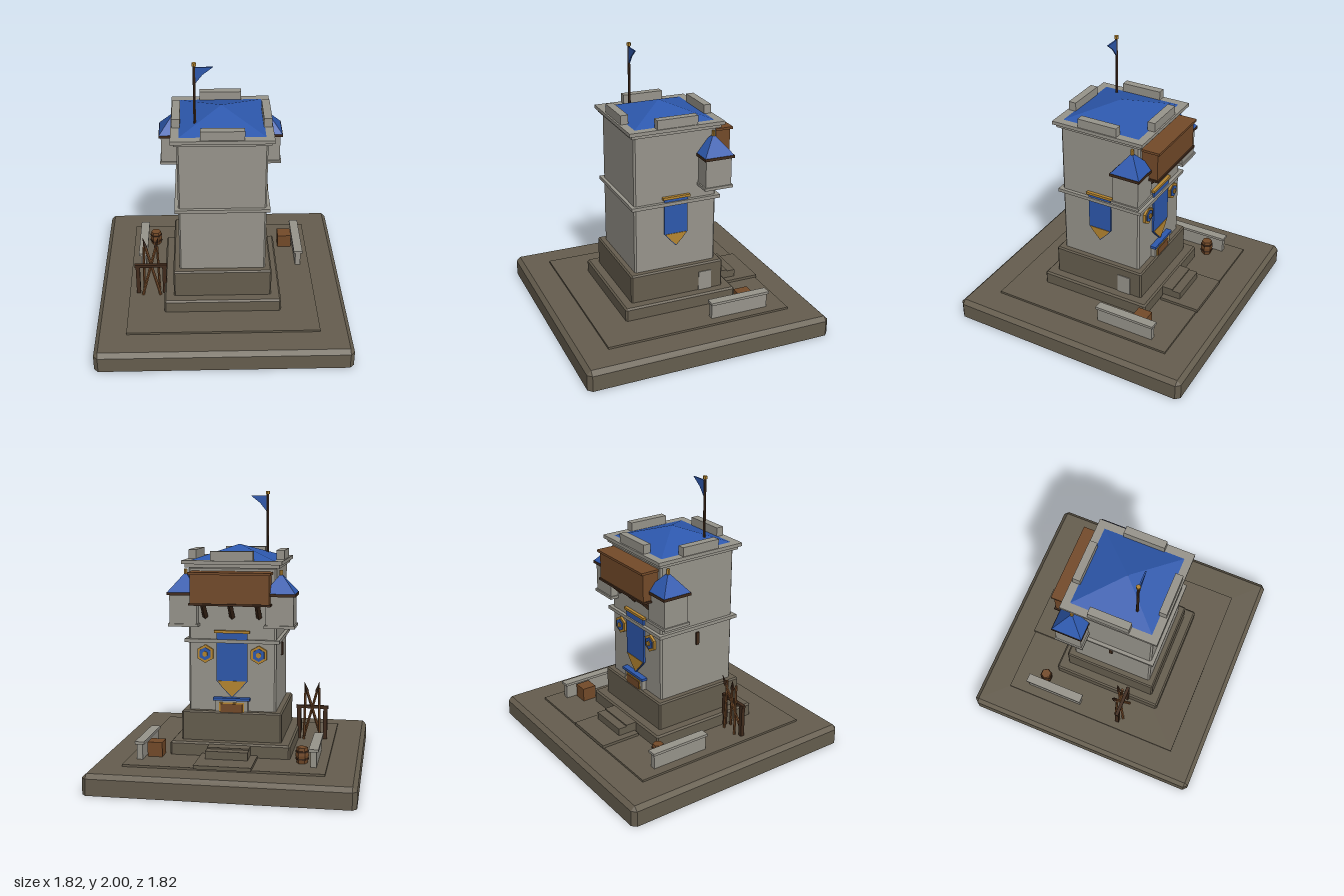
import * as THREE from 'three';
import { ConvexGeometry } from 'three/addons/geometries/ConvexGeometry.js';

export function createModel() {
  const model = new THREE.Group();
  model.name = 'watchtower';
  const mat = (name, color) => {
    const m = new THREE.MeshStandardMaterial({ color });
    m.name = name;
    m.flatShading = true;
    return m;
  };
  const stone = mat('stone', 0x97948b);
  const darkStone = mat('dark stone', 0x655d4e);
  const blue = mat('blue', 0x2d58ad);
  const gold = mat('gold', 0xb58530);
  const wood = mat('wood', 0x734a29);
  const darkWood = mat('dark wood', 0x402a1b);

  const CZ = 0.035; // depth centre of the tower

  const add = (name, geo, material, parent = model) => {
    const m = new THREE.Mesh(geo, material);
    m.name = name;
    parent.add(m);
    return m;
  };
  // box given by its limits on each axis
  const box = (name, material, x0, x1, y0, y1, z0, z1, parent) => {
    const m = add(name, new THREE.BoxGeometry(x1 - x0, y1 - y0, z1 - z0), material, parent);
    m.position.set((x0 + x1) / 2, (y0 + y1) / 2, (z0 + z1) / 2);
  };
  // square block with chamfered upright and top edges
  const block = (name, material, half, y0, y1, c, cz) => {
    const pts = [];
    for (const sx of [-1, 1]) for (const sz of [-1, 1]) {
      for (const y of [y0, y1 - c]) {
        pts.push(new THREE.Vector3(sx * half, y, sz * (half - c)));
        pts.push(new THREE.Vector3(sx * (half - c), y, sz * half));
      }
      pts.push(new THREE.Vector3(sx * (half - c), y1, sz * (half - c)));
    }
    add(name, new ConvexGeometry(pts), material).position.z = cz;
  };
  const slab = (name, material, half, y0, y1) =>
    box(name, material, -half, half, y0, y1, CZ - half, CZ + half);
  // four-sided roof with its sides along the axes
  const pyramid = (name, half, y0, y1, x, z) => {
    const g = new THREE.ConeGeometry(half * Math.SQRT2, y1 - y0, 4).rotateY(Math.PI / 4);
    add(name, g, blue).position.set(x, (y0 + y1) / 2, z);
  };
  // rod between two points
  const rod = (name, material, a, b, r0, r1 = r0, sides = 6) => {
    const p = new THREE.Vector3(...a), q = new THREE.Vector3(...b);
    const m = add(name, new THREE.CylinderGeometry(r1, r0, p.distanceTo(q), sides), material);
    m.position.copy(p).add(q).multiplyScalar(0.5);
    m.quaternion.setFromUnitVectors(new THREE.Vector3(0, 1, 0), q.sub(p).normalize());
  };
  // flat plate cut to an outline
  const plate = (name, material, outline, depth, z, parent) => {
    const shape = new THREE.Shape(outline.map(p => new THREE.Vector2(...p)));
    const g = new THREE.ExtrudeGeometry(shape, { depth, bevelEnabled: false });
    add(name, g, material, parent).position.z = z;
  };

  // ground and plinth
  block('ground', darkStone, 0.91, 0, 0.145, 0.03, 0);
  box('paving', darkStone, -0.69, 0.69, 0.14, 0.16, -0.69, 0.69);
  block('lowerPlinth', darkStone, 0.425, 0.155, 0.255, 0.012, CZ);
  block('upperPlinth', darkStone, 0.355, 0.25, 0.465, 0.01, CZ);

  // tower shaft, string course and crown
  block('shaft', stone, 0.31, 0.46, 1.48, 0.012, CZ);
  slab('stringCourse', stone, 0.335, 0.95, 0.975);
  slab('lowerCornice', stone, 0.332, 1.475, 1.5);
  slab('upperCornice', stone, 0.352, 1.5, 1.525);
  pyramid('mainRoof', 0.295, 1.525, 1.625, 0, CZ);
  for (const s of [-1, 1]) {
    const x = s * 0.316, z = CZ + s * 0.312;
    box('parapet', stone, -0.15, 0.15, 1.52, 1.59, z - 0.028, z + 0.028);
    box('parapet', stone, x - 0.028, x + 0.028, 1.52, 1.59, CZ - 0.15, CZ + 0.15);
  }

  // flag on its pole
  rod('flagpole', darkWood, [-0.185, 1.53, 0.18], [-0.185, 1.985, 0.18], 0.01);
  rod('flagpoleKnob', gold, [-0.185, 1.98, 0.18], [-0.185, 2, 0.18], 0.016);
  plate('flag', blue, [[-0.177, 1.97], [-0.177, 1.855], [-0.13, 1.915], [-0.06, 1.97]], 0.01, 0.175);

  // corner turrets at the back
  for (const s of [-1, 1]) {
    const x = s * 0.338, z = -0.235;
    const tier = (name, m, h, y0, y1) => box(name, m, x - h, x + h, y0, y1, z - h, z + h);
    tier('turretBase', stone, 0.107, 1.065, 1.085);
    tier('turretBody', stone, 0.097, 1.08, 1.29);
    tier('turretEave', darkWood, 0.113, 1.285, 1.305);
    pyramid('turretRoof', 0.11, 1.305, 1.44, x, z);
    rod('turretKnob', gold, [x, 1.425, z], [x, 1.462, z], 0.013);
  }

  // wooden gallery with brackets
  box('galleryBody', wood, -0.275, 0.275, 1.235, 1.44, -0.395, -0.26);
  box('galleryLid', wood, -0.285, 0.285, 1.435, 1.452, -0.412, -0.26);
  box('galleryFloor', darkWood, -0.285, 0.285, 1.222, 1.237, -0.405, -0.26);
  for (const x of [-0.19, 0, 0.19])
    rod('galleryBracket', darkWood, [x, 1.13, -0.275], [x, 1.228, -0.37], 0.02, 0.02, 4);

  // pointed banners, built facing +z and then turned to the wall
  const banner = (w, top, shoulder, tip) => {
    const g = new THREE.Group();
    g.name = 'banner';
    model.add(g);
    const point = (v, end) => {
      const mid = shoulder - (shoulder - tip) * 0.43;
      return [[-v, shoulder], [-v * 0.6, mid], [0, end], [v * 0.6, mid], [v, shoulder]];
    };
    plate('bannerCloth', blue, [[-w, top], ...point(w, tip), [w, top]], 0.015, 0, g);
    plate('bannerTip', gold, point(w - 0.008, tip + 0.009), 0.005, 0.014, g);
    box('bannerRod', gold, -w - 0.015, w + 0.015, top, top + 0.018, 0, 0.025, g);
    return g;
  };
  const sideBanner = banner(0.088, 0.997, 0.73, 0.63);
  sideBanner.position.set(0.308, 0, CZ);
  sideBanner.rotation.y = Math.PI / 2;
  const backBanner = banner(0.11, 1.02, 0.68, 0.56);
  backBanner.position.set(0, 0, -0.274);
  backBanner.rotation.y = Math.PI;

  // hexagonal shields beside the back banner
  for (const s of [-1, 1]) {
    for (const [r, d, m] of [[0.065, 0.02, gold], [0.046, 0.026, blue], [0.02, 0.034, gold]]) {
      const g = new THREE.CylinderGeometry(r, r, d, 6).rotateX(Math.PI / 2);
      add('shield', g, m).position.set(s * 0.19, 0.87, -0.273 - d / 2);
    }
  }

  // doorway at the back with steps
  box('doorFrame', stone, -0.115, 0.115, 0.44, 0.545, -0.308, -0.27);
  box('doorTrim', gold, -0.09, 0.09, 0.44, 0.53, -0.312, -0.3);
  box('door', wood, -0.078, 0.078, 0.44, 0.52, -0.316, -0.305);
  box('doorLintel', blue, -0.13, 0.13, 0.543, 0.562, -0.318, -0.27);
  box('bottomStep', darkStone, -0.2, 0.195, 0.155, 0.18, -0.7, -0.4);
  box('middleStep', darkStone, -0.15, 0.145, 0.17, 0.235, -0.535, -0.38);
  box('topStep', darkStone, -0.15, 0.145, 0.23, 0.245, -0.47, -0.38);

  // side panel and wall lamp
  box('sidePanel', stone, 0.345, 0.361, 0.25, 0.4, -0.23, -0.13);
  box('wallLamp', darkWood, -0.322, -0.305, 0.82, 0.915, CZ - 0.012, CZ + 0.012);

  // low walls
  for (const s of [-1, 1]) {
    const x = s * 0.602;
    box('lowWall', stone, x - 0.02, x + 0.02, 0.155, 0.272, -0.55, -0.112);
    box('lowWallCap', stone, x - 0.033, x + 0.033, 0.268, 0.287, -0.56, -0.105);
  }

  // crate and barrel
  box('crate', wood, 0.463, 0.568, 0.158, 0.263, -0.47, -0.363);
  const profile = [[0, 0], [0.038, 0], [0.046, 0.055], [0.038, 0.11], [0, 0.11]];
  const barrel = new THREE.LatheGeometry(profile.map(p => new THREE.Vector2(...p)), 6);
  add('barrel', barrel.rotateY(Math.PI / 6), wood).position.set(-0.515, 0.16, -0.445);
  for (const y of [0.185, 0.235]) {
    const hoop = new THREE.CylinderGeometry(0.047, 0.047, 0.012, 6).rotateY(Math.PI / 6);
    add('barrelHoop', hoop, darkWood).position.set(-0.515, y + 0.006, -0.445);
  }

  // weapon rack with leaning spears
  const RX = -0.525;
  for (const s of [-1, 1]) {
    const x = RX + s * 0.098;
    box('rackPost', darkWood, x - 0.015, x + 0.015, 0.155, 0.4, 0.198, 0.226);
    rod('spearShaft', wood, [RX + s * 0.065, 0.16, 0.245], [RX - s * 0.04, 0.54, 0.165], 0.011);
    rod('spearPoint', darkWood, [RX - s * 0.038, 0.53, 0.167], [RX - s * 0.056, 0.605, 0.15], 0.016, 0.001);
    rod('rackPole', wood, [RX + s * 0.058, 0.16, 0.18], [RX + s * 0.05, 0.55, 0.19], 0.01);
  }
  box('rackBar', darkWood, RX - 0.12, RX + 0.12, 0.39, 0.412, 0.2, 0.225);

  return model;
}
